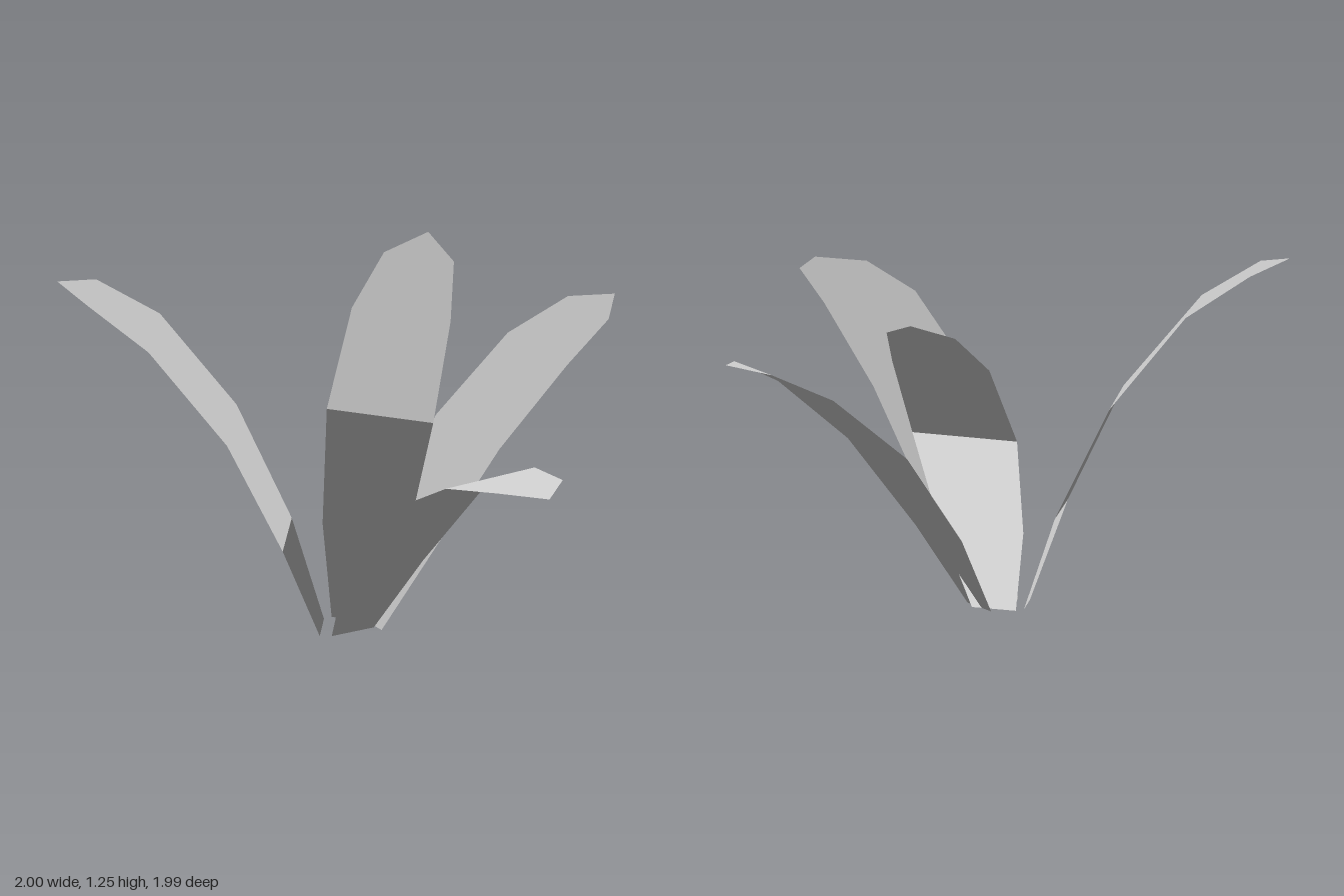
import * as THREE from 'three';

// Each leaf: cross-sections [height, left edge x, z, right edge x, z] from base up, then a pointed tip [x, y, z]
const LEAVES = [
  { name: 'frontLeaf',
    rows: [[0, -0.13, -0.26, 0.03, -0.3], [0.31, -0.145, -0.03, 0.155, -0.11], [0.67, -0.09, 0.29, 0.28, 0.19],
      [0.89, 0.03, 0.66, 0.375, 0.55], [0.95, 0.15, 0.89, 0.4, 0.83]],
    tip: [0.31, 0.95, 0.99] },
  { name: 'rightLeaf',
    rows: [[0, -0.115, -0.42, -0.17, -0.27], [0.34, -0.2, -0.53, -0.31, -0.24], [0.74, -0.37, -0.63, -0.5, -0.27],
      [1.07, -0.62, -0.715, -0.75, -0.38], [1.21, -0.84, -0.74, -0.93, -0.505]],
    tip: [-1, 1.25, -0.66] },
  { name: 'leftLeaf',
    rows: [[0, 0.05, -0.27, 0, -0.42], [0.28, 0.23, -0.255, 0.13, -0.545], [0.61, 0.48, -0.31, 0.35, -0.67],
      [0.85, 0.75, -0.42, 0.63, -0.76], [0.955, 0.93, -0.54, 0.85, -0.78]],
    tip: [0.995, 0.98, -0.7] },
  { name: 'backLeaf',
    rows: [[0, 0.05, -0.34, -0.085, -0.43], [0.3, 0.17, -0.37, -0.085, -0.55], [0.66, 0.29, -0.48, -0.03, -0.7],
      [0.955, 0.4, -0.66, 0.105, -0.87], [1.1, 0.46, -0.84, 0.25, -0.985]],
    tip: [0.41, 1.155, -0.995] },
];
const NORMAL_TILT = 0.43; // radians from straight up, towards the leaf tip

// Thin arching blade: a strip of quads closed by a triangle at the tip
function leafGeometry({ rows, tip }) {
  const positions = rows.flatMap(([y, lx, lz, rx, rz]) => [lx, y, lz, rx, y, rz]).concat(tip);
  const index = [];
  const last = rows.length - 1;
  for (let i = 0; i < last; i++) {
    const a = 2 * i;
    index.push(a, a + 2, a + 1, a + 1, a + 2, a + 3);
  }
  index.push(2 * last, 2 * last + 2, 2 * last + 1);

  // Foliage shading: one upward normal for the whole blade, leaning outwards
  const [, lx, lz, rx, rz] = rows[0];
  const normal = new THREE.Vector3(tip[0] - (lx + rx) / 2, 0, tip[2] - (lz + rz) / 2)
    .setLength(Math.sin(NORMAL_TILT)).setY(Math.cos(NORMAL_TILT));
  const normals = Array.from({ length: positions.length / 3 }, () => normal.toArray()).flat();

  const geometry = new THREE.BufferGeometry();
  geometry.setAttribute('position', new THREE.Float32BufferAttribute(positions, 3));
  geometry.setAttribute('normal', new THREE.Float32BufferAttribute(normals, 3));
  geometry.setIndex(index);
  return geometry;
}

export function createModel() {
  const plant = new THREE.Group();
  plant.name = 'leafyPlant';
  const material = new THREE.MeshStandardMaterial({ color: 0xcccccc, side: THREE.DoubleSide });
  for (const leaf of LEAVES) {
    const mesh = new THREE.Mesh(leafGeometry(leaf), material);
    mesh.name = leaf.name;
    plant.add(mesh);
  }
  return plant;
}
